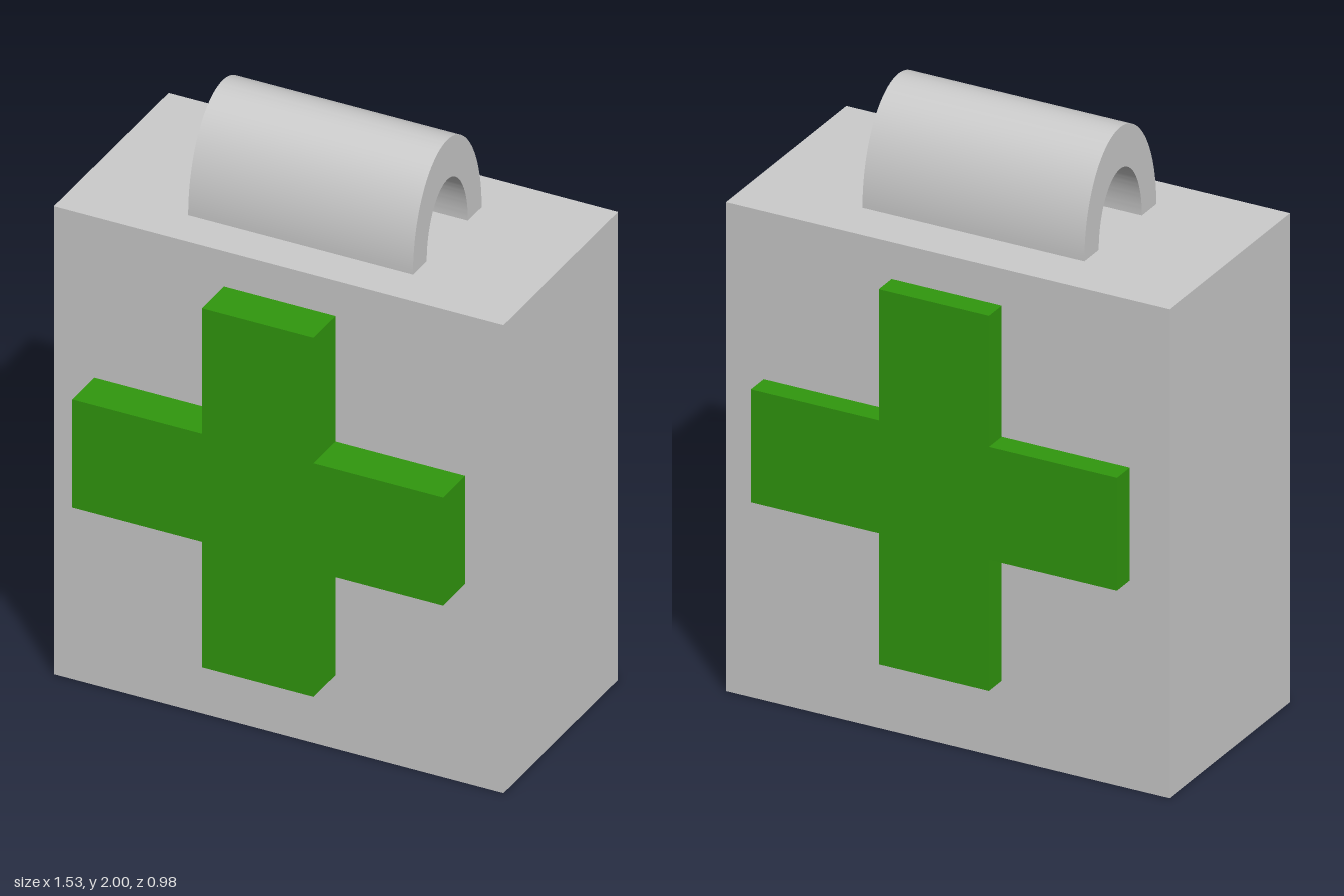
import * as THREE from 'three';
import { toCreasedNormals } from 'three/addons/utils/BufferGeometryUtils.js';

const BODY = { width: 1.53, height: 1.645, back: -0.41, front: 0.345 };

export function createModel() {
  const group = new THREE.Group();
  const grey = new THREE.MeshStandardMaterial({ color: 0xcccccc });
  const green = new THREE.MeshStandardMaterial({ color: 0x31980e });

  const add = (name, geometry, material) => {
    const mesh = new THREE.Mesh(geometry, material);
    mesh.name = name;
    group.add(mesh);
  };

  // Case body
  const depth = BODY.front - BODY.back;
  const body = new THREE.BoxGeometry(BODY.width, BODY.height, depth);
  body.translate(0, BODY.height / 2, (BODY.front + BODY.back) / 2);
  add('caseBody', body, grey);

  // Handle: half-elliptical arch, extruded sideways
  const arch = new THREE.Shape();
  arch.absellipse(0.02, BODY.height, 0.225, 0.355, 0, Math.PI, false);
  arch.absellipse(0.02, BODY.height, 0.135, 0.215, Math.PI, 0, true);
  arch.closePath();
  const handle = new THREE.ExtrudeGeometry(arch, { depth: 0.765, bevelEnabled: false, curveSegments: 40 });
  handle.rotateY(Math.PI / 2).translate(-0.38, 0, 0);
  add('handle', toCreasedNormals(handle, Math.PI / 5), grey);

  // Raised crosses on the front and back faces
  const arm = 0.19, reach = 0.631;
  const cross = new THREE.Shape([
    [arm, reach], [-arm, reach], [-arm, arm], [-reach, arm], [-reach, -arm], [-arm, -arm],
    [-arm, -reach], [arm, -reach], [arm, -arm], [reach, -arm], [reach, arm], [arm, arm],
  ].map(([x, y]) => new THREE.Vector2(x, y)));
  const addCross = (name, zMin, zMax) => {
    const geometry = new THREE.ExtrudeGeometry(cross, { depth: zMax - zMin, bevelEnabled: false });
    geometry.translate(0.004, 0.89, zMin);
    add(name, geometry, green);
  };
  addCross('frontCross', BODY.front - 0.02, 0.49);
  addCross('backCross', -0.49, BODY.back + 0.02);

  return group;
}
